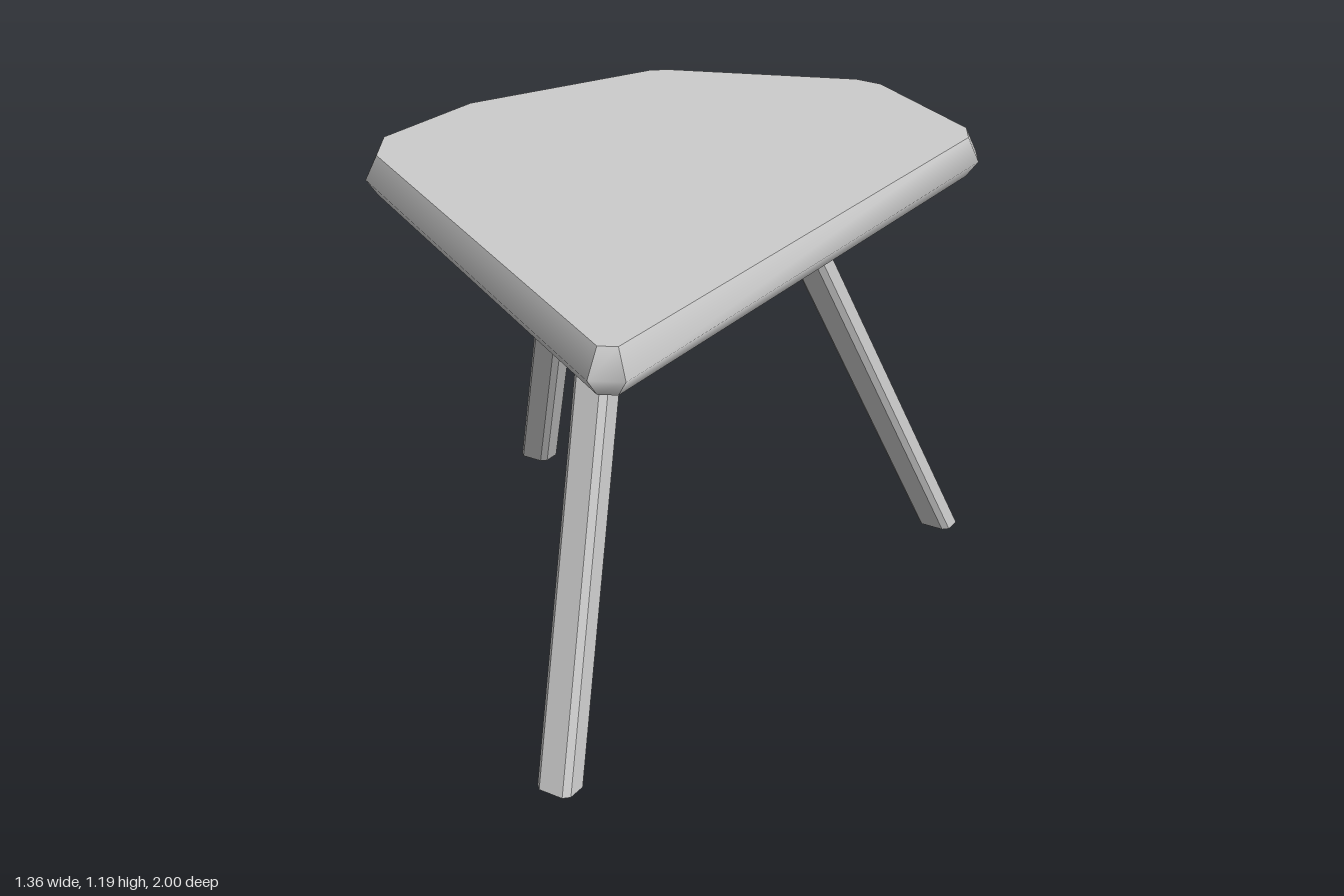
import * as THREE from 'three';

const material = new THREE.MeshStandardMaterial({ color: 0xcccccc, side: THREE.DoubleSide });
const flatMaterial = new THREE.MeshStandardMaterial({ color: 0xcccccc, flatShading: true });

// Table outline as (x, z), clockwise seen from above; the first two points are the sharp front corner
const outline = [
  [0.675, 0.96], [0.61, 0.995], [-0.5, 0.29], [-0.587, 0.15], [-0.587, -0.22], [-0.365, -0.76],
  [-0.32, -0.8], [0.17, -1.0], [0.26, -0.99], [0.63, -0.735], [0.675, -0.65],
].map(([x, z]) => new THREE.Vector2(x, z));

const TOP = 1.19, MIDDLE = 1.13, UNDERSIDE = 1.09, INSET = 0.028;

// Moves every side of the outline inwards by the same distance
function insetOutline(points, distance) {
  const count = points.length;
  const inward = points.map((p, i) => {
    const d = points[(i + 1) % count].clone().sub(p).normalize();
    return new THREE.Vector2(-d.y, d.x);
  });
  return points.map((p, i) => {
    const a = inward[(i + count - 1) % count], b = inward[i];
    return a.clone().add(b).multiplyScalar(distance / (1 + a.dot(b))).add(p);
  });
}

// Bevelled edge strip between two places on the outline
function rimStrip(indices, rows) {
  const positions = [], faces = [], n = rows.length;
  for (const i of indices) {
    for (const { points, y } of rows) positions.push(points[i].x, y, points[i].y);
  }
  for (let i = 0; i < indices.length - 1; i++) {
    for (let r = 0; r < n - 1; r++) {
      const a = i * n + r, b = a + n;
      faces.push(b, a, a + 1, b, a + 1, b + 1);
    }
  }
  const geometry = new THREE.BufferGeometry();
  geometry.setAttribute('position', new THREE.Float32BufferAttribute(positions, 3));
  geometry.setIndex(faces);
  geometry.computeVertexNormals();
  return geometry;
}

// Upright post with chamfered corners, sheared so its ends stay level
function slantedPost(width, depth, chamfer, from, to) {
  const w = width / 2, d = depth / 2, c = chamfer;
  const shape = new THREE.Shape([
    [w, -d + c], [w, d - c], [w - c, d], [-w + c, d],
    [-w, d - c], [-w, -d + c], [-w + c, -d], [w - c, -d],
  ].map(([x, y]) => new THREE.Vector2(x, y)));
  const geometry = new THREE.ExtrudeGeometry(shape, { depth: 1, bevelEnabled: false });
  geometry.rotateX(-Math.PI / 2);
  const p = geometry.attributes.position;
  for (let i = 0; i < p.count; i++) {
    const t = p.getY(i);
    p.setXYZ(i,
      p.getX(i) + THREE.MathUtils.lerp(from.x, to.x, t),
      THREE.MathUtils.lerp(from.y, to.y, t),
      p.getZ(i) + THREE.MathUtils.lerp(from.z, to.z, t));
  }
  geometry.computeVertexNormals();
  return geometry;
}

function addMesh(parent, name, geometry, mat) {
  const mesh = new THREE.Mesh(geometry, mat);
  mesh.name = name;
  parent.add(mesh);
}

export function createModel() {
  const model = new THREE.Group();
  model.name = 'threeLeggedTable';

  // Table top: two flat faces joined by a smooth bevelled rim
  const tableTop = new THREE.Group();
  tableTop.name = 'tableTop';
  model.add(tableTop);
  const inner = insetOutline(outline, INSET);
  const rows = [
    { points: inner, y: UNDERSIDE }, { points: outline, y: MIDDLE }, { points: inner, y: TOP },
  ];
  const upper = new THREE.ShapeGeometry(new THREE.Shape(inner.map((p) => new THREE.Vector2(p.x, -p.y))));
  addMesh(tableTop, 'upperSurface', upper.rotateX(-Math.PI / 2).translate(0, TOP, 0), material);
  const lower = new THREE.ShapeGeometry(new THREE.Shape(inner));
  addMesh(tableTop, 'underside', lower.rotateX(Math.PI / 2).translate(0, UNDERSIDE, 0), material);
  const around = [...outline.keys()].slice(1);
  addMesh(tableTop, 'rim', rimStrip([...around, 0].slice(0, -1), rows), material);
  addMesh(tableTop, 'rightEdge', rimStrip([outline.length - 1, 0], rows), material);
  addMesh(tableTop, 'frontCorner', rimStrip([0, 1], rows), material);

  // Splayed legs, each with a thicker socket below the top
  const legs = [
    ['frontLeg', [0.38, 0.765], [0.275, 0.415]],
    ['backRightLeg', [-0.635, -0.607], [-0.232, -0.2]],
    ['backLeftLeg', [0.548, -0.863], [0.378, -0.21]],
  ];
  for (const [name, [footX, footZ], [topX, topZ]] of legs) {
    const leg = new THREE.Group();
    leg.name = name;
    model.add(leg);
    const foot = new THREE.Vector3(footX, 0, footZ);
    const head = new THREE.Vector3(topX, UNDERSIDE, topZ);
    const collar = foot.clone().lerp(head, 0.985 / UNDERSIDE);
    addMesh(leg, 'legPost', slantedPost(0.09, 0.075, 0.014, foot, head), flatMaterial);
    addMesh(leg, 'legSocket', slantedPost(0.112, 0.098, 0.017, collar, head), flatMaterial);
  }
  return model;
}
